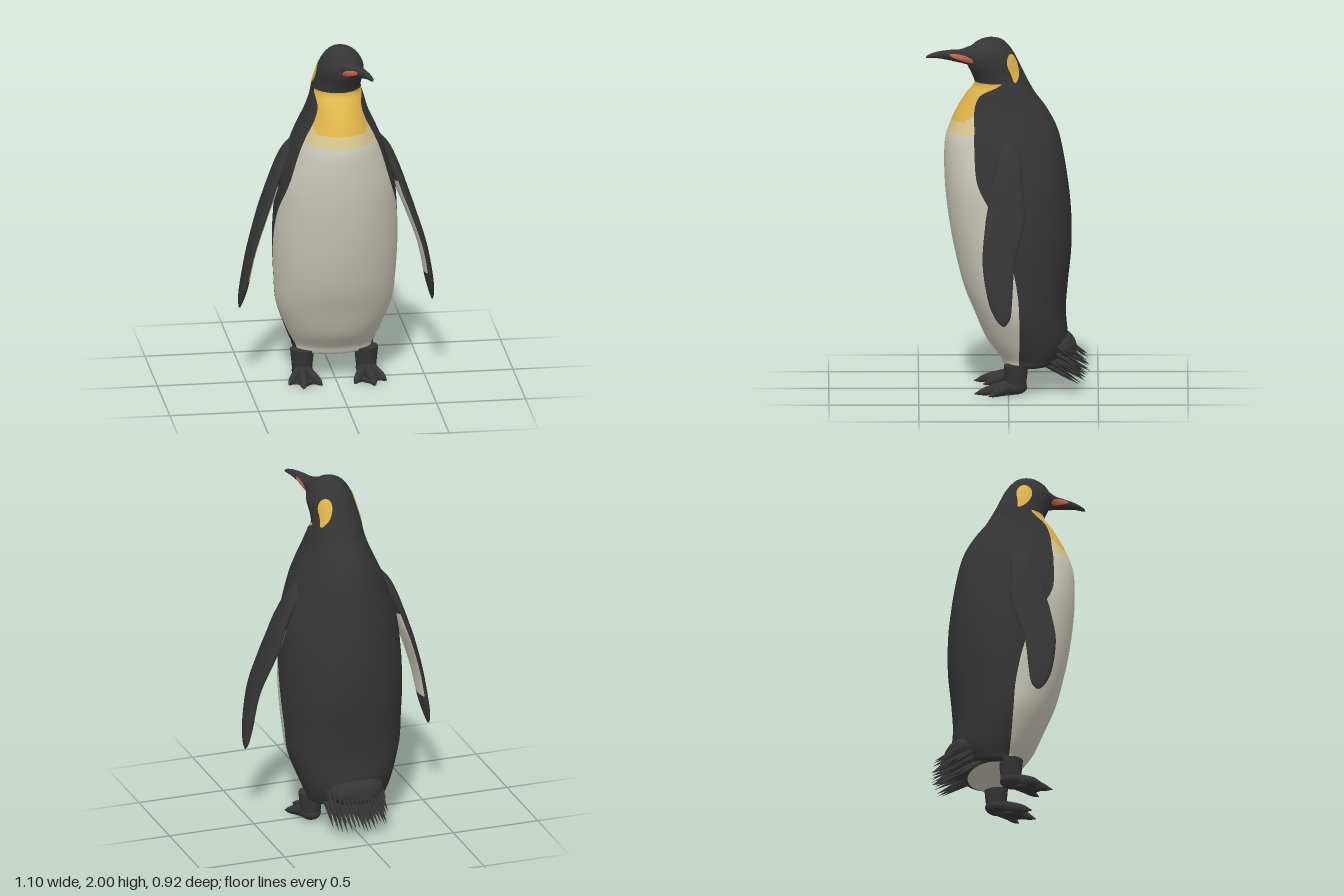
import * as THREE from 'three';
import { mergeGeometries } from 'three/addons/utils/BufferGeometryUtils.js';

const mat = (name, color, side = THREE.FrontSide) => new THREE.MeshStandardMaterial({ name, color, side });
const clamp = THREE.MathUtils.clamp;

// Smooth interpolation through the rows of a table; s counts rows.
function sample(table, s) {
  const n = table.length - 1, i = Math.min(Math.floor(s), n - 1), t = s - i;
  const [a, b, c, d] = [i - 1, i, i + 1, i + 2].map((k) => table[clamp(k, 0, n)]);
  return b.map((_, k) => b[k] + 0.5 * t * (c[k] - a[k]
    + t * (2 * a[k] - 5 * b[k] + 4 * c[k] - d[k] + t * (3 * (b[k] - c[k]) + d[k] - a[k]))));
}

// Closed-ring loft: point(u, v) gives positions, pick(u, v) the material index.
function surface(rows, cols, point, pick = () => 0) {
  const pos = [], buckets = [];
  for (let i = 0; i <= rows; i++)
    for (let j = 0; j < cols; j++) pos.push(...point(i / rows, j / cols));
  for (let i = 0; i < rows; i++)
    for (let j = 0; j < cols; j++) {
      const k = (j + 1) % cols, a = i * cols + j, b = a + cols, c = i * cols + k, d = c + cols;
      const m = pick((i + 0.5) / rows, (j + 0.5) / cols);
      (buckets[m] ??= []).push(a, b, c, c, b, d);
    }
  const geo = new THREE.BufferGeometry();
  geo.setAttribute('position', new THREE.Float32BufferAttribute(pos, 3));
  geo.setIndex(buckets.flat());
  let start = 0;
  buckets.forEach((list, m) => { geo.addGroup(start, list.length, m); start += list.length; });
  geo.computeVertexNormals();
  return geo;
}

// Copy reflected across x = 0 with its winding kept outward.
function mirrored(geo) {
  const g = geo.clone().scale(-1, 1, 1), ix = g.index.array;
  for (let i = 0; i < ix.length; i += 3) [ix[i], ix[i + 1]] = [ix[i + 1], ix[i]];
  return g;
}

// Body stations: y, half width, front z, back z, z of the belly's edge
const BODY = [
  [2.0, 0, 0.1, 0.1, 0.1], [1.985, 0.055, 0.16, 0.04, 0.1], [1.95, 0.095, 0.21, 0, 0.1],
  [1.9, 0.12, 0.24, -0.035, 0.1], [1.85, 0.128, 0.235, -0.06, 0.08], [1.8, 0.13, 0.21, -0.085, 0.05],
  [1.74, 0.14, 0.19, -0.115, 0.07], [1.68, 0.155, 0.235, -0.15, 0.16], [1.6, 0.18, 0.285, -0.21, 0.19],
  [1.5, 0.225, 0.33, -0.265, 0.19], [1.4, 0.265, 0.355, -0.295, 0.19], [1.2, 0.325, 0.355, -0.33, 0.17],
  [1.0, 0.345, 0.335, -0.35, 0.06], [0.8, 0.35, 0.3, -0.35, -0.01], [0.6, 0.34, 0.25, -0.33, -0.05],
  [0.45, 0.325, 0.19, -0.32, -0.06], [0.3, 0.275, 0.125, -0.33, -0.06], [0.2, 0.235, 0.05, -0.3, -0.06],
  [0.15, 0.2, 0.02, -0.24, -0.06], [0.14, 0, -0.08, -0.08, -0.08],
];
// Beak stations: z, centre y, half width, half height
const BEAK = [
  [0.16, 1.9, 0.09, 0.07], [0.22, 1.9, 0.062, 0.055], [0.28, 1.902, 0.042, 0.038], [0.35, 1.912, 0.027, 0.029],
  [0.42, 1.917, 0.018, 0.018], [0.47, 1.912, 0.01, 0.01], [0.487, 1.907, 0.001, 0.001],
];
// Flipper stations: y, inner x, outer x, front z, back z
const FLIPPER = [
  [1.44, 0.2, 0.25, 0.02, -0.02], [1.38, 0.21, 0.3, 0.06, -0.06], [1.3, 0.26, 0.34, 0.075, -0.075],
  [1.2, 0.31, 0.378, 0.1, -0.08], [1.1, 0.345, 0.412, 0.115, -0.09], [1.0, 0.385, 0.445, 0.13, -0.085],
  [0.8, 0.455, 0.505, 0.145, -0.035], [0.6, 0.495, 0.542, 0.115, -0.02], [0.5, 0.522, 0.55, 0.075, -0.01],
  [0.455, 0.538, 0.546, 0.035, 0.02],
];

// The head looks a little to its left.
function turnHead([x, y, z]) {
  const a = 0.35 * THREE.MathUtils.smoothstep(y, 1.68, 1.82), dz = z - 0.05;
  return [x * Math.cos(a) + dz * Math.sin(a), y, 0.05 + dz * Math.cos(a) - x * Math.sin(a)];
}

function bodyPoint(s, angle, lift = 0) {
  const [y, w, zf, zb] = sample(BODY, s);
  return turnHead([(Math.max(w, 0) + lift) * Math.sin(angle), y,
    (zf + zb) / 2 + ((zf - zb) / 2 + lift) * Math.cos(angle)]);
}

function beakPoint(s, angle, lift = 0) {
  const [z, y, w, h] = sample(BEAK, s);
  return turnHead([(w + lift) * Math.sin(angle), y + (h + lift) * Math.cos(angle), z]);
}

// Columns 0 to 0.5 cover the belly, the rest the back, so the colour edge is clean.
function bodyGeometry() {
  const last = BODY.length - 1;
  return surface(last * 6, 72, (u, v) => {
    const s = u * last, [, , zf, zb, edge] = sample(BODY, s);
    const A = Math.acos(clamp((edge - (zf + zb) / 2) / Math.max((zf - zb) / 2, 0.01), -0.9, 0.9));
    return bodyPoint(s, v < 0.5 ? A * (4 * v - 1) : A + (2 * Math.PI - 2 * A) * (2 * v - 1));
  }, (u, v) => {
    const s = u * last;
    if (s > 18) return 1;
    if (v > 0.5 || s < 5.83) return 0;
    const corner = 0.5 * Math.abs(4 * v - 1) ** 4;
    return s < 8.75 - corner ? 2 : s < 9.4 ? 3 : 1;
  });
}

// Rounded plate lying on a surface; point(p, q) with p, q inside the unit disc
const plate = (point) => surface(6, 32, (u, v) =>
  point(u * Math.cos(v * 2 * Math.PI), u * Math.sin(v * 2 * Math.PI)));

function flipperGeometry() {
  const last = FLIPPER.length - 1;
  return surface(last * 5, 40, (u, v) => {
    const [y, xi, xo, zf, zb] = sample(FLIPPER, u * last), a = v * 2 * Math.PI;
    return [(xi + xo) / 2 + (xo - xi) / 2 * Math.sin(a), y, (zf + zb) / 2 + (zf - zb) / 2 * Math.cos(a)];
  }, (u, v) => {
    const s = u * last;
    return s > 3.2 && s < 6.8 && v > 0.55 && v < 0.95 ? 1 : 0;
  });
}

// Ankle, heel pad, three clawed toes and the web between them
function footGeometry() {
  const radii = [[0.05], [0.036], [0.032], [0.03], [0.022], [0.003]];
  const tips = [[0.09, 0.14], [0.2, 0.19], [0.275, 0.11]];
  const parts = tips.map(([tx, tz]) => surface(15, 12, (u, v) => {
    const r = sample(radii, u * 5)[0], a = v * 2 * Math.PI;
    return [0.18 + (tx - 0.18) * u + r * 0.85 * Math.sin(a),
      Math.max(0.003, 0.06 - 0.05 * u + r * Math.cos(a)), -0.04 + (tz + 0.04) * u];
  }));
  const web = new THREE.Shape([[0.17, -0.03], [0.1, 0.1], [0.145, 0.1], [0.19, 0.14], [0.22, 0.09], [0.26, 0.08],
    [0.2, -0.03]].reverse().map(([x, z]) => new THREE.Vector2(x, -z)));
  const webGeo = new THREE.ExtrudeGeometry(web, { depth: 0.02, bevelEnabled: false }).rotateX(-Math.PI / 2);
  webGeo.setIndex([...Array(webGeo.attributes.position.count).keys()]);
  parts.push(webGeo.translate(0, 0.004, 0),
    new THREE.CylinderGeometry(0.068, 0.055, 0.13, 16).translate(0.18, 0.105, -0.042),
    new THREE.SphereGeometry(1, 16, 10).scale(0.06, 0.042, 0.07).translate(0.18, 0.045, -0.035));
  for (const g of parts) { g.deleteAttribute('uv'); g.clearGroups(); }
  return mergeGeometries(parts);
}

// Layers of pointed feathers sweeping down and back
function tailGeometry() {
  const layers = [[0.2, -0.2, 0.06, -0.44], [0.22, -0.23, 0.1, -0.46], [0.26, -0.26, 0.14, -0.46], [0.31, -0.27, 0.19, -0.45]];
  const feathers = [], up = new THREE.Vector3(0, 1, 0);
  layers.forEach(([by, bz, ty, tz], l) => {
    for (let i = -7; i <= 7; i++) {
      const f = (i + (l % 2) * 0.5) / 7.5, jitter = 0.014 * Math.sin(i * 7.3 + l * 2.9);
      const base = new THREE.Vector3(f * 0.155, by, bz + 0.05 * f * f);
      const tip = new THREE.Vector3(f * 0.17, ty + jitter, tz + 0.08 * f * f + Math.abs(jitter));
      const dir = tip.clone().sub(base), len = dir.length();
      const g = new THREE.ConeGeometry(0.026, len, 5).scale(1, 1, 0.8);
      g.applyQuaternion(new THREE.Quaternion().setFromUnitVectors(up, dir.normalize()));
      const mid = base.add(tip).multiplyScalar(0.5);
      feathers.push(g.translate(mid.x, mid.y, mid.z));
    }
  });
  return mergeGeometries(feathers);
}

export function createModel() {
  const dark = mat('charcoal feathers', 0x353535);
  const white = mat('ivory feathers', 0xcbc8ba);
  const yellow = mat('golden feathers', 0xe0b54a, THREE.DoubleSide);
  const pale = mat('pale yellow feathers', 0xd6c68e);
  const orange = mat('orange bill', 0xd2694c, THREE.DoubleSide);

  const model = new THREE.Group();
  model.name = 'penguin';
  const add = (name, geo, material) => {
    const mesh = new THREE.Mesh(geo, material);
    mesh.name = name;
    model.add(mesh);
  };
  const addPair = (name, geo, material) => {
    add('left' + name, geo, material);
    add('right' + name, mirrored(geo), material);
  };

  add('bodyAndHead', bodyGeometry(), [dark, white, yellow, pale]);
  add('beak', surface(30, 24, (u, v) => beakPoint(u * 6, v * 2 * Math.PI)), dark);

  // Ear patches taper towards the collar; bill plates run along the lower jaw.
  for (const [side, k] of [['left', 1], ['right', -1]]) {
    add(side + 'EarPatch', plate((p, q) =>
      bodyPoint(4.25 + 1.5 * p, k * (2.1 - 0.16 * p + q * 0.29 * (1 - 0.35 * p)), 0.004)), yellow);
    add(side + 'BillPlate', plate((p, q) =>
      beakPoint(2.1 + p, k * (1.74 - 0.33 * p + 0.45 * q), 0.004)), orange);
  }

  addPair('Flipper', flipperGeometry(), [dark, white]);
  addPair('Foot', footGeometry(), dark);
  add('tailRoot', new THREE.SphereGeometry(1, 24, 16).scale(0.16, 0.085, 0.1)
    .rotateX(-0.6).translate(0, 0.255, -0.285), dark);
  add('tailFeathers', tailGeometry(), dark);
  return model;
}
